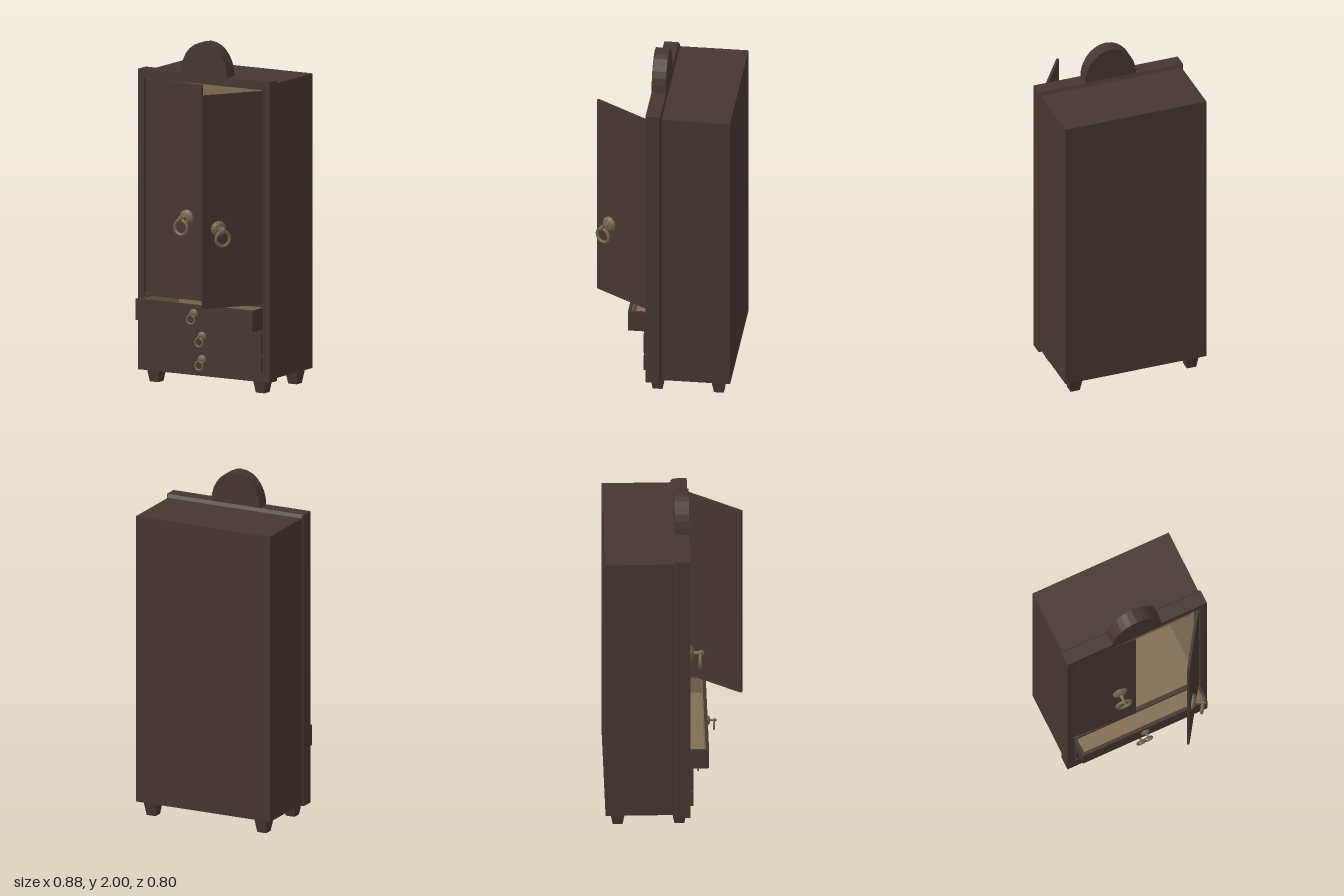
import * as THREE from 'three';

export function createModel() {
  const model = new THREE.Group();
  const wood = new THREE.MeshStandardMaterial({ color: 0x46372f });
  wood.name = 'dark wood';
  const lining = new THREE.MeshStandardMaterial({ color: 0x806d54 });
  lining.name = 'pale lining';
  const brass = new THREE.MeshStandardMaterial({ color: 0x74644c });
  brass.name = 'aged brass';

  const add = (parent, name, geometry, material) => {
    const mesh = new THREE.Mesh(geometry, material);
    mesh.name = name;
    parent.add(mesh);
    return mesh;
  };
  // Box given by its lower and upper corners
  const box = (parent, name, [x0, y0, z0], [x1, y1, z1], material = wood) => {
    const g = new THREE.BoxGeometry(x1 - x0, y1 - y0, z1 - z0);
    g.translate((x0 + x1) / 2, (y0 + y1) / 2, (z0 + z1) / 2);
    return add(parent, name, g, material);
  };
  const rect = (shape, x0, y0, x1, y1) =>
    shape.moveTo(x0, y0).lineTo(x1, y0).lineTo(x1, y1).lineTo(x0, y1).closePath();

  // Carcass panels
  const body = new THREE.Group();
  body.name = 'cabinetBody';
  model.add(body);
  box(body, 'backPanel', [-0.43, 0.085, -0.4], [0.43, 1.79, -0.38]);
  box(body, 'roofPanel', [-0.43, 1.77, -0.38], [0.43, 1.79, 0.003]);
  box(body, 'basePanel', [-0.43, 0.085, -0.38], [0.43, 0.105, 0.003]);
  for (const s of [-1, 1]) {
    const side = box(body, 'sidePanel', [-0.015, 0.105, -0.38], [0.015, 1.77, 0.003]);
    side.position.x = s * 0.415;
  }
  box(body, 'compartmentFloor', [-0.4, 0.503, -0.38], [0.4, 0.515, 0.07]);

  // Pale compartment lining and shelf
  box(body, 'backLining', [-0.4, 0.52, -0.38], [0.4, 1.76, -0.375], lining);
  box(body, 'floorLining', [-0.4, 0.515, -0.38], [0.4, 0.521, 0.06], lining);
  box(body, 'ceilingLining', [-0.4, 1.755, -0.38], [0.4, 1.77, 0.003], lining);
  for (const s of [-1, 1]) {
    const side = box(body, 'sideLining', [-0.003, 0.52, -0.375], [0.003, 1.755, 0.003], lining);
    side.position.x = s * 0.397;
  }
  box(body, 'shelf', [-0.394, 1.38, -0.375], [0.394, 1.41, -0.03], lining);

  // Front frame with openings for the doors and the pulled drawer
  const frame = new THREE.Shape();
  rect(frame, -0.44, 0.07, 0.44, 1.81);
  for (const [x, y0, y1] of [[0.4, 0.52, 1.76], [0.397, 0.373, 0.503]]) {
    const hole = new THREE.Path();
    rect(hole, -x, y0, x, y1);
    frame.holes.push(hole);
  }
  const frameGeo = new THREE.ExtrudeGeometry(frame, { depth: 0.082, bevelEnabled: false });
  add(model, 'frontFrame', frameGeo.translate(0, 0, 0.003), wood);

  // Sloped moulding behind the frame
  const moulding = (name, w, h, x, y, turn) => {
    const s = new THREE.Shape([[-0.007, 0], [0.003, 0], [0.003, h]].map(p => new THREE.Vector2(...p)));
    const g = new THREE.ExtrudeGeometry(s, { depth: w, bevelEnabled: false });
    g.translate(0, 0, -w / 2).rotateY(-Math.PI / 2).rotateZ(turn).translate(x, y, 0);
    add(model, name, g, wood);
  };
  moulding('topMoulding', 0.87, 0.02, 0, 1.79, 0);
  moulding('bottomMoulding', 0.87, 0.015, 0, 0.085, Math.PI);
  moulding('leftMoulding', 1.73, 0.01, 0.43, 0.94, -Math.PI / 2);
  moulding('rightMoulding', 1.73, 0.01, -0.43, 0.94, Math.PI / 2);

  // Faceted arched crest
  const crest = new THREE.Shape();
  for (let i = 0; i <= 14; i++) {
    const a = Math.PI * i / 14;
    crest[i ? 'lineTo' : 'moveTo'](0.155 * Math.cos(a), 1.81 + 0.19 * Math.sin(a));
  }
  const crestGeo = new THREE.ExtrudeGeometry(crest, { depth: 0.082, bevelEnabled: false });
  add(model, 'archedCrest', crestGeo.translate(0, 0, 0.003), wood);

  // Tapered square feet
  for (const x of [-0.355, 0.355]) {
    for (const z of [0.022, -0.33]) {
      const g = new THREE.CylinderGeometry(0.06, 0.04, 0.086, 4, 1).toNonIndexed();
      g.rotateY(Math.PI / 4).computeVertexNormals();
      add(model, 'foot', g, wood).position.set(x, 0.043, z);
    }
  }

  // Ring pull: stepped rosette, post, end knob and hanging ring
  const ringPull = (parent, x, y, z, scale) => {
    const pull = new THREE.Group();
    pull.name = 'ringPull';
    pull.position.set(x, y, z);
    pull.scale.setScalar(scale);
    parent.add(pull);
    const profile = [[0, 0], [0.045, 0], [0.045, 0.01], [0.03, 0.022], [0.012, 0.026],
      [0.01, 0.052], [0, 0.052]].map(p => new THREE.Vector2(...p));
    const rosette = new THREE.LatheGeometry(profile, 12).toNonIndexed();
    rosette.rotateX(Math.PI / 2).computeVertexNormals();
    add(pull, 'rosette', rosette, brass);
    const knob = new THREE.SphereGeometry(1, 8, 6).scale(0.011, 0.019, 0.021);
    add(pull, 'knob', knob, brass).position.set(0, 0, 0.066);
    const ring = new THREE.TorusGeometry(0.043, 0.01, 6, 14);
    add(pull, 'ring', ring, brass).position.set(0, -0.05, 0.062);
  };

  // Doors: the left one wide open, the right one barely ajar
  for (const [name, s, hinge, z, angle] of [
    ['leftDoor', 1, 0.397, 0.073, 56.3], ['rightDoor', -1, -0.399, 0.071, 3.2]]) {
    const door = new THREE.Group();
    door.name = name;
    door.position.set(hinge, 0, z);
    door.rotation.y = s * THREE.MathUtils.degToRad(angle);
    model.add(door);
    const panel = box(door, 'doorPanel', [-0.194, 0.52, -0.015], [0.194, 1.755, 0]);
    panel.position.x = -s * 0.194;
    ringPull(door, -s * 0.289, 0.98, 0, 1);
  }

  // Closed drawers
  for (const [y0, y1, py] of [[0.122, 0.213, 0.168], [0.234, 0.355, 0.303]]) {
    box(model, 'drawerFront', [-0.393, y0, 0.08], [0.393, y1, 0.102]);
    ringPull(model, 0, py, 0.102, 0.6);
  }

  // Pulled-out top drawer with a lined tray
  const drawer = new THREE.Group();
  drawer.name = 'openDrawer';
  model.add(drawer);
  box(drawer, 'drawerFront', [-0.393, 0.376, 0.172], [0.393, 0.498, 0.192]);
  box(drawer, 'drawerBottom', [-0.393, 0.376, -0.25], [0.393, 0.386, 0.172]);
  box(drawer, 'drawerBottomLining', [-0.377, 0.386, -0.25], [0.377, 0.392, 0.17], lining);
  box(drawer, 'drawerFrontLining', [-0.374, 0.392, 0.169], [0.374, 0.494, 0.172], lining);
  box(drawer, 'drawerBack', [-0.377, 0.386, -0.265], [0.377, 0.498, -0.25], lining);
  for (const s of [-1, 1]) {
    box(drawer, 'drawerSide', [-0.008, 0.386, -0.265], [0.008, 0.498, 0.172]).position.x = s * 0.385;
    box(drawer, 'drawerSideLining', [-0.0015, 0.392, -0.25], [0.0015, 0.494, 0.169], lining)
      .position.x = s * 0.3755;
  }
  ringPull(drawer, 0, 0.448, 0.192, 0.6);

  return model;
}
